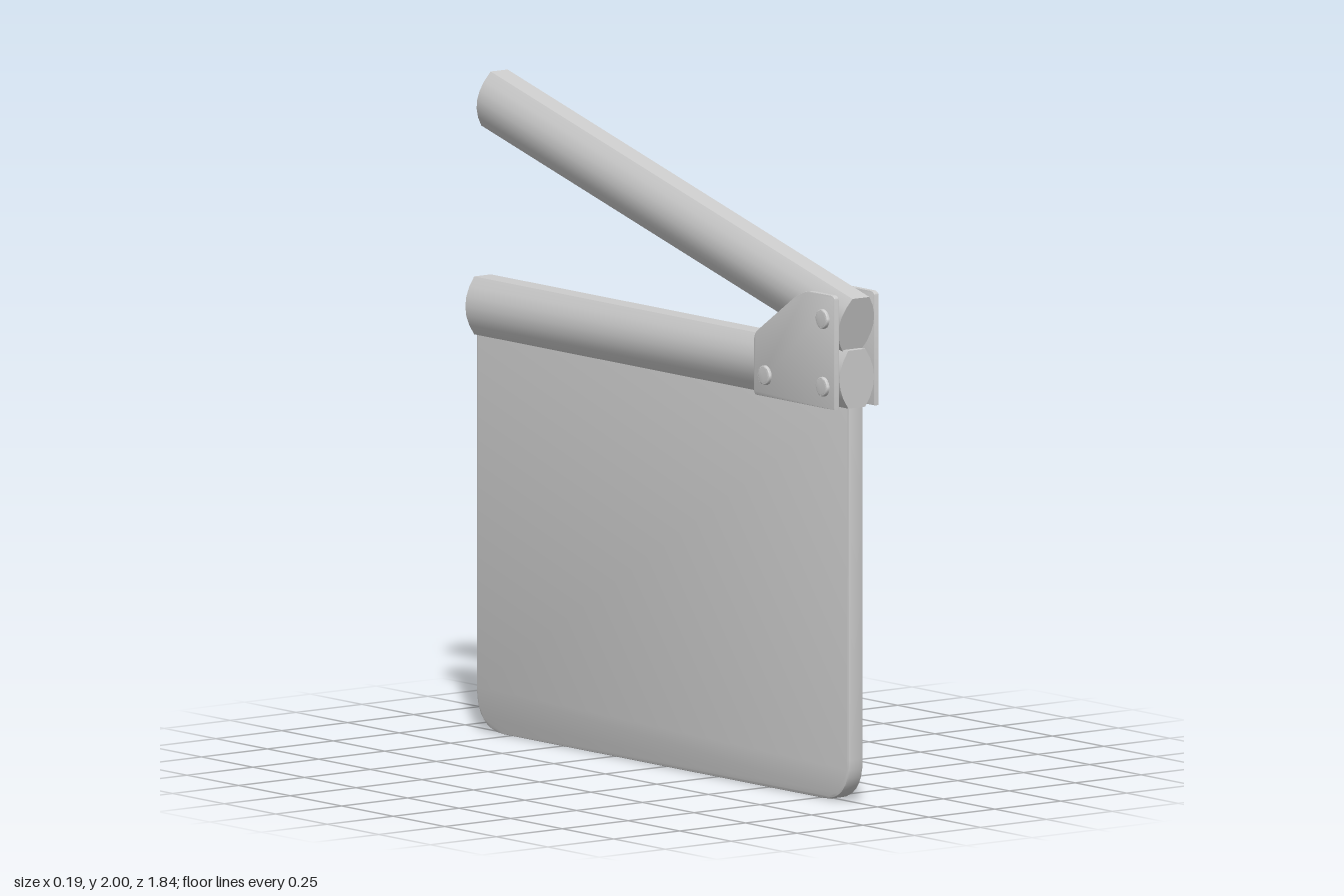
import * as THREE from 'three';
import { toCreasedNormals } from 'three/addons/utils/BufferGeometryUtils.js';

const material = new THREE.MeshStandardMaterial({ color: 0xcccccc });

function addMesh(parent, name, geometry, crease = 0.6) {
  const mesh = new THREE.Mesh(toCreasedNormals(geometry, crease), material);
  mesh.name = name;
  parent.add(mesh);
  return mesh;
}

// Extrudes a shape to a total depth, centred on its own z axis, bevel included.
function slab(shape, depth, bevel, curveSegments = 8) {
  const geometry = new THREE.ExtrudeGeometry(shape, {
    depth: depth - 2 * bevel, curveSegments,
    bevelEnabled: bevel > 0, bevelThickness: bevel, bevelSize: bevel,
    bevelOffset: -bevel, bevelSegments: 2,
  });
  return geometry.translate(0, 0, bevel - depth / 2);
}

// Bar section: flat top and bottom, bulging sides.
function barGeometry(length) {
  const flat = 0.032, bulge = 0.099, h = 0.0875;
  const s = new THREE.Shape();
  s.moveTo(-flat, -h);
  s.lineTo(flat, -h);
  s.quadraticCurveTo(bulge, 0, flat, h);
  s.lineTo(-flat, h);
  s.quadraticCurveTo(-bulge, 0, -flat, -h);
  return slab(s, length, 0, 6);
}

// Board outline with rounded lower corners; shape x runs along -z.
function boardGeometry() {
  const front = -0.898, back = 0.912, top = 1.21, r = 0.13;
  const s = new THREE.Shape();
  s.moveTo(front, top);
  s.lineTo(front, r);
  s.bezierCurveTo(front, r * 0.35, front + r * 0.35, 0, front + r, 0);
  s.lineTo(back - r, 0);
  s.bezierCurveTo(back - r * 0.35, 0, back, r * 0.35, back, r);
  s.lineTo(back, top);
  return slab(s, 0.056, 0.008).rotateY(Math.PI / 2);
}

// Hinge plate with a sloping rear edge.
function plateGeometry() {
  const s = new THREE.Shape();
  s.moveTo(-0.9, 1.195);
  s.lineTo(-0.52, 1.195);
  s.quadraticCurveTo(-0.508, 1.195, -0.508, 1.21);
  s.lineTo(-0.508, 1.36);
  s.quadraticCurveTo(-0.508, 1.38, -0.525, 1.392);
  s.lineTo(-0.7, 1.51);
  s.quadraticCurveTo(-0.745, 1.54, -0.79, 1.54);
  s.lineTo(-0.88, 1.54);
  s.quadraticCurveTo(-0.9, 1.54, -0.9, 1.522);
  return slab(s, 0.017, 0.002).rotateY(Math.PI / 2);
}

// Round screw head with a cross-shaped recess.
function screwGeometry() {
  const s = new THREE.Shape();
  s.absarc(0, 0, 0.03, 0, Math.PI * 2);
  const cross = [], a = 0.005, b = 0.017;
  for (let i = 0; i < 4; i++) {
    const turn = -i * Math.PI / 2;
    for (const [x, y] of [[a, a], [b, a], [b, -a]]) {
      cross.push(new THREE.Vector2(x, y).rotateAround(new THREE.Vector2(), turn));
    }
  }
  s.holes.push(new THREE.Path(cross));
  return new THREE.ExtrudeGeometry(s, {
    depth: 0.004, curveSegments: 10, bevelThickness: 0.007,
    bevelSize: 0.008, bevelOffset: -0.008, bevelSegments: 3,
  });
}

export function createModel() {
  const model = new THREE.Group();
  model.name = 'clapperboard';

  addMesh(model, 'board', boardGeometry(), 0.5);

  // Fixed bar on the board and the raised bar above it
  addMesh(model, 'lowerBar', barGeometry(1.815)).position.set(0, 1.2825, -0.0075);
  const upper = addMesh(model, 'upperBar', barGeometry(1.817));
  upper.position.set(0, 1.68, 0.02);
  upper.rotation.x = THREE.MathUtils.degToRad(15);

  // Hinge plates and screws on both sides
  const screws = [[1.465, 0.845], [1.26, 0.845], [1.26, 0.565]];
  for (const side of [1, -1]) {
    const hinge = new THREE.Group();
    hinge.name = side > 0 ? 'leftHinge' : 'rightHinge';
    addMesh(hinge, 'hingePlate', plateGeometry(), 0.5).position.x = side * 0.0755;
    for (const [y, z] of screws) {
      const screw = addMesh(hinge, 'screw', screwGeometry(), 0.7);
      screw.position.set(side * 0.083, y, z);
      screw.rotation.set(0, side * Math.PI / 2, 0);
      screw.rotateZ(0.4);
    }
    model.add(hinge);
  }
  return model;
}
